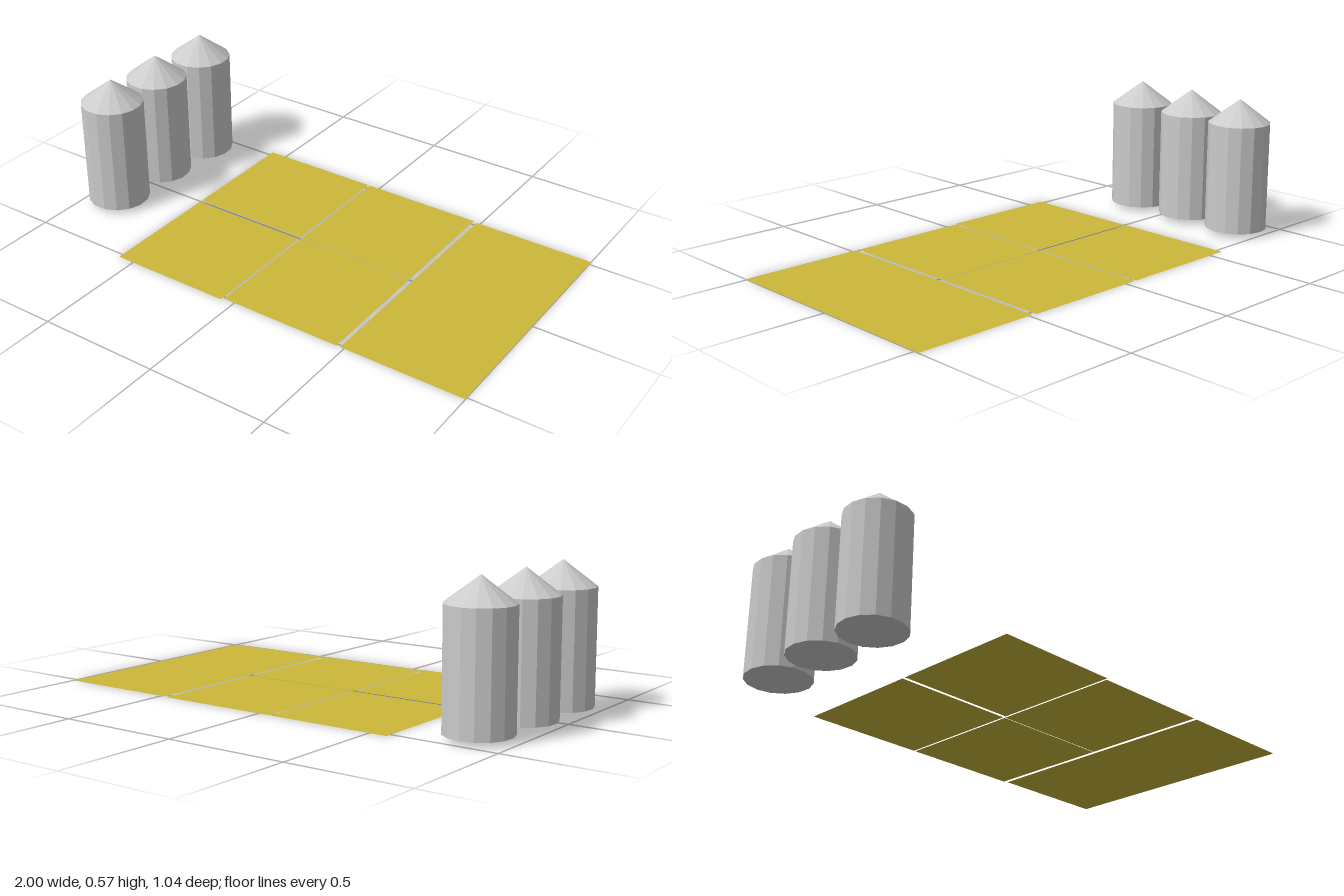
import * as THREE from 'three';

export function createModel() {
  const model = new THREE.Group();
  const metal = new THREE.MeshStandardMaterial({ color: 0xcccccc, flatShading: true });
  const crop = new THREE.MeshStandardMaterial({ color: 0xccb83a, side: THREE.DoubleSide });

  // Silos: 15-sided drum with a closed floor and a conical roof
  const radius = 0.129, sides = 15, floorY = 0.02, wall = 0.45, roof = 0.098;
  const drumGeometry = new THREE.CylinderGeometry(radius, radius, wall, sides, 1, false, Math.PI);
  const roofGeometry = new THREE.ConeGeometry(radius, roof, sides, 1, true, Math.PI);
  for (const [x, z] of [[-0.872, 0.178], [-0.872, -0.102], [-0.852, -0.377]]) {
    const silo = new THREE.Group();
    silo.name = 'silo';
    const drum = new THREE.Mesh(drumGeometry, metal);
    drum.name = 'siloDrum';
    drum.position.y = floorY + wall / 2;
    const cone = new THREE.Mesh(roofGeometry, metal);
    cone.name = 'siloRoof';
    cone.position.y = floorY + wall + roof / 2;
    silo.add(drum, cone);
    silo.position.set(x, 0, z);
    model.add(silo);
  }

  // Fields: three columns of two flat square plots, [x, back z, front z]
  const plot = new THREE.PlaneGeometry(0.516, 0.516).rotateX(-Math.PI / 2);
  for (const [x, back, front] of [[-0.315, -0.267, 0.262], [0.209, -0.267, 0.252], [0.741, -0.262, 0.252]]) {
    for (const z of [back, front]) {
      const field = new THREE.Mesh(plot, crop);
      field.name = 'field';
      field.position.set(x, 0, z);
      model.add(field);
    }
  }
  return model;
}
